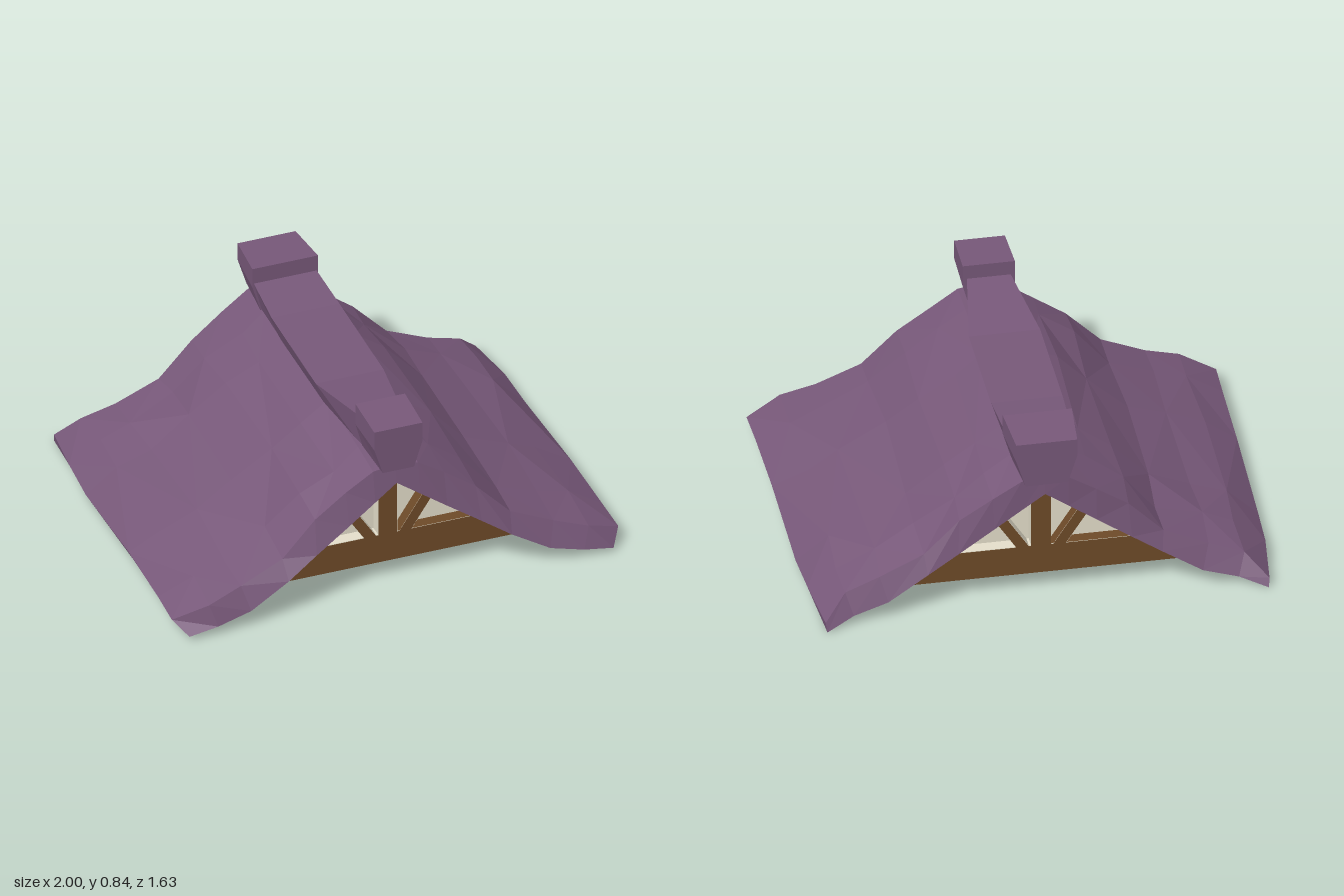
import * as THREE from 'three';

const mat = (name, color) => {
  const m = new THREE.MeshStandardMaterial({ color, flatShading: true });
  m.name = name;
  return m;
};

// Closed solid through rings of [x, y, z]; rings run clockwise seen from +z, front to back.
function loft(rings) {
  const pos = [];
  const tri = (...p) => p.forEach((v) => pos.push(...v));
  const quad = (a, b, c, d, flip) => {
    if (flip) { tri(a, b, d); tri(b, c, d); } else { tri(a, b, c); tri(a, c, d); }
  };
  const m = rings[0].length;
  for (let s = 0; s < rings.length - 1; s++) {
    const r = rings[s], q = rings[s + 1];
    for (let i = 0; i < m; i++) {
      const j = (i + 1) % m;
      quad(r[i], r[j], q[j], q[i], (s + i) % 2);
    }
  }
  const f = rings[0], b = rings[rings.length - 1];
  for (let i = 0; i < m / 2 - 1; i++) {
    const j = m - 1 - i;
    quad(f[i], f[j], f[j - 1], f[i + 1]);
    quad(b[i], b[i + 1], b[j - 1], b[j]);
  }
  const g = new THREE.BufferGeometry();
  g.setAttribute('position', new THREE.Float32BufferAttribute(pos, 3));
  g.computeVertexNormals();
  return g;
}

// Half profiles of the roof, ridge to eave
const topX = [0, 0.1, 0.22, 0.36, 0.51, 0.7, 0.85, 0.99];
const topMid = [0.64, 0.635, 0.56, 0.46, 0.318, 0.228, 0.168, 0.07];
const topEnd = [0.625, 0.61, 0.53, 0.43, 0.275, 0.19, 0.14, 0.07];
const lowX = [0, 0.1, 0.22, 0.37, 0.5, 0.67, 0.82, 0.95];
const lowY = [0.54, 0.47, 0.385, 0.28, 0.19, 0.085, 0.045, 0.01];
// Curved gable edges
const frontTopZ = [0.74, 0.74, 0.735, 0.74, 0.75, 0.76, 0.78, 0.735];
const frontLowZ = [0.755, 0.765, 0.775, 0.785, 0.8, 0.805, 0.81, 0.812];
const backTopZ = [-0.74, -0.74, -0.73, -0.715, -0.71, -0.718, -0.735, -0.8];
const backLowZ = [-0.745, -0.745, -0.745, -0.745, -0.745, -0.76, -0.775, -0.815];
// Stations: z, blend to middle profile, eave top y, eave bottom y, eave x
const stations = [
  { end: 'front', k: 0, top: 0.075, low: 0.025, x: 1.0 },
  { z: 0.56, k: 0.6, top: 0.08, low: 0.05, x: 0.995 },
  { z: 0.2, k: 1, top: 0.08, low: 0.04, x: 0.99 },
  { z: -0.32, k: 0.9, top: 0.045, low: 0.01, x: 0.985 },
  { z: -0.54, k: 0.6, top: 0.055, low: 0.03, x: 0.975 },
  { end: 'back', k: 0, top: 0.04, low: 0.002, x: 0.945 },
];

function roofGeometry() {
  const n = topX.length;
  const rings = stations.map((st, s) => {
    const point = (i, side, upper) => {
      const eave = i === n - 1;
      let x = upper ? topX[i] : lowX[i];
      let y = upper ? THREE.MathUtils.lerp(topEnd[i], topMid[i], st.k) : lowY[i] + 0.012 * st.k;
      if (eave) {
        x = upper ? st.x : st.x - (st.end === 'back' ? 0.005 : st.end ? 0.05 : 0.02);
        y = upper ? st.top : st.low;
      }
      let z = st.z;
      if (st.end === 'front') z = (upper ? frontTopZ : frontLowZ)[i];
      else if (st.end === 'back') z = (upper ? backTopZ : backLowZ)[i];
      else if (upper && i > 1 && !eave) {
        // Uneven, worn surface
        const a = s * 2.7 + i * 1.9 + side * 0.8;
        y += 0.008 * Math.sin(a);
        x += 0.01 * Math.sin(a * 1.7);
        z += 0.03 * Math.cos(a * 2.3);
      }
      return [side * x, y, z];
    };
    const ring = [];
    for (let i = n - 1; i > 0; i--) ring.push(point(i, -1, true));
    for (let i = 0; i < n; i++) ring.push(point(i, 1, true));
    for (let i = n - 1; i >= 0; i--) ring.push(point(i, 1, false));
    for (let i = 1; i < n; i++) ring.push(point(i, -1, false));
    return ring;
  });
  return loft(rings);
}

const mirrored = (half, z) => [
  ...half.map(([x, y]) => [-x, y, z]),
  ...half.slice().reverse().map(([x, y]) => [x, y, z]),
];

const polygon = (pts, Type = THREE.Shape) => new Type(pts.map(([x, y]) => new THREE.Vector2(x, y)));

// Same polygon shrunk slightly toward its centre
function inset(pts, k) {
  const cx = pts.reduce((t, p) => t + p[0], 0) / pts.length;
  const cy = pts.reduce((t, p) => t + p[1], 0) / pts.length;
  return pts.map(([x, y]) => [cx + (x - cx) * k, cy + (y - cy) * k]);
}

export function createModel() {
  const model = new THREE.Group();
  model.name = 'gableRoof';
  const purple = mat('purple roofing', 0x775879);
  const brown = mat('brown timber', 0x6e4a28);
  const cream = mat('cream plaster', 0xe4deca);
  const add = (parent, name, geometry, material, z = 0) => {
    const mesh = new THREE.Mesh(geometry, material);
    mesh.name = name;
    mesh.position.z = z;
    parent.add(mesh);
  };

  add(model, 'roofSlopes', roofGeometry(), purple);

  // Sagging ridge beam: z, top half width, top y, bottom half width
  const beam = [
    [0.58, 0.09, 0.78, 0.07], [0.2, 0.152, 0.73, 0.105],
    [-0.32, 0.152, 0.737, 0.105], [-0.58, 0.14, 0.76, 0.1],
  ];
  add(model, 'ridgeBeam', loft(beam.map(([z, t, y, b]) => mirrored([[b, 0.6], [t, y]], z))), purple);

  // Ridge end caps, tapered below
  const capRing = (z, w, y, b, bottom) => mirrored([[b, bottom], [w, 0.74], [w, y]], z);
  add(model, 'frontRidgeCap', loft([
    capRing(0.775, 0.108, 0.83, 0.07, 0.618), capRing(0.56, 0.111, 0.842, 0.08, 0.625),
  ]), purple);
  add(model, 'backRidgeCap', loft([
    capRing(-0.56, 0.147, 0.832, 0.11, 0.615), capRing(-0.78, 0.13, 0.822, 0.09, 0.612),
  ]), purple);

  // Timber gables with recessed plaster panels between the struts
  const outline = [[-0.7, 0.085], [0.7, 0.085], [0, 0.56]];
  const panes = [];
  for (const s of [-1, 1]) {
    panes.push([[s * 0.042, 0.22], [s * 0.042, 0.515], [s * 0.18, 0.42], [s * 0.052, 0.22]]);
    panes.push([[s * 0.105, 0.22], [s * 0.205, 0.375], [s * 0.222, 0.37], [s * 0.385, 0.22]]);
  }
  const extrude = (shape, depth) => new THREE.ExtrudeGeometry(shape, { depth, bevelEnabled: false });
  const frame = polygon(outline);
  frame.holes = panes.map((p) => polygon(p, THREE.Path));
  for (const [name, turn] of [['frontGable', 0], ['backGable', Math.PI]]) {
    const gable = new THREE.Group();
    gable.name = name;
    gable.rotation.y = turn;
    add(gable, 'timberFrame', extrude(frame, 0.06), brown, 0.59);
    add(gable, 'timberBacking', extrude(polygon(outline), 0.07), brown, 0.52);
    for (const p of panes) {
      const reveal = polygon(p);
      reveal.holes = [polygon(inset(p, 0.97), THREE.Path)];
      add(gable, 'plasterReveal', extrude(reveal, 0.059), cream, 0.59);
      add(gable, 'plasterPanel', extrude(polygon(p), 0.006), cream, 0.588);
    }
    model.add(gable);
  }
  return model;
}
